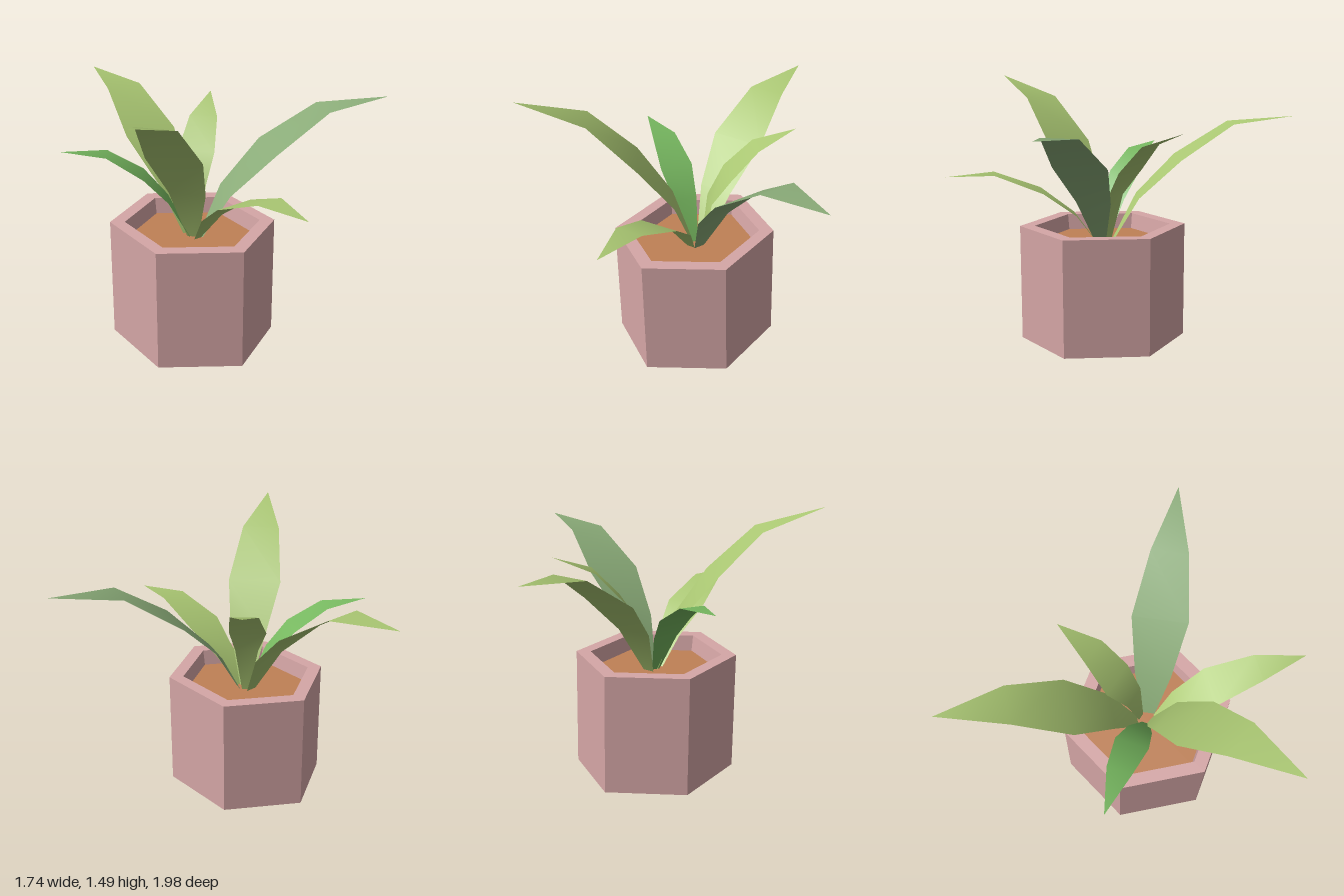
import * as THREE from 'three';

const mat = (name, color, extra = {}) => new THREE.MeshStandardMaterial({ name, color, ...extra });

// Six-sided turned shape with hard facets, corners pointing to front and back
function hexLathe(name, profile, material) {
  const pts = profile.map(([r, y]) => new THREE.Vector2(r, y));
  const geo = new THREE.LatheGeometry(pts, 6).toNonIndexed();
  geo.scale(0.919, 1, 1);
  geo.computeVertexNormals();
  const mesh = new THREE.Mesh(geo, material);
  mesh.name = name;
  mesh.position.set(-0.17, 0, 0.11);
  return mesh;
}

// Single-surface blade: stations are [x, y, z, width] along the midrib, then a pointed tip
function leaf(name, stations, tip, material) {
  const [bx, , bz] = stations[0];
  const side = new THREE.Vector3(-(tip[2] - bz), 0, tip[0] - bx).normalize();
  const pos = [], index = [];
  for (const [x, y, z, w] of stations) {
    for (const s of [-0.5, 0.5]) pos.push(x + side.x * w * s, y, z + side.z * w * s);
  }
  pos.push(...tip);
  const last = 2 * (stations.length - 1);
  for (let a = 0; a < last; a += 2) index.push(a, a + 1, a + 2, a + 1, a + 3, a + 2);
  index.push(last, last + 1, last + 2);
  const geo = new THREE.BufferGeometry();
  geo.setAttribute('position', new THREE.Float32BufferAttribute(pos, 3));
  geo.setIndex(index);
  geo.computeVertexNormals();
  const mesh = new THREE.Mesh(geo, material);
  mesh.name = name;
  return mesh;
}

export function createModel() {
  const group = new THREE.Group();
  group.name = 'pottedPlant';

  const pink = mat('potPink', 0xd5a6a6);
  const brown = mat('soilBrown', 0xbf8055);
  const double = { side: THREE.DoubleSide };
  const lime = mat('leafLime', 0xa9c672, double);
  const sage = mat('leafSage', 0x8aab78, double);
  const green = mat('leafGreen', 0x76b75f, double);

  // Pot with rim and hollow top, then the soil inside
  group.add(hexLathe('pot', [[0, 0], [0.475, 0], [0.475, 0.67], [0.39, 0.67], [0.375, 0.57]], pink));
  group.add(hexLathe('soil', [[0.376, 0.58], [0, 0.58]], brown));

  // Leaves fanning out from the middle
  group.add(
    leaf('backLeaf', [
      [-0.16, 0.57, 0.06, 0.06], [-0.16, 0.84, -0.09, 0.2],
      [-0.165, 1.06, -0.32, 0.31], [-0.16, 1.255, -0.62, 0.21],
    ], [-0.16, 1.29, -0.99], lime),
    leaf('backLeftLeaf', [
      [-0.14, 0.57, 0.08, 0.04], [-0.11, 0.85, 0.04, 0.13],
      [-0.045, 1.0, -0.04, 0.205], [0.072, 1.158, -0.14, 0.155],
    ], [0.23, 1.24, -0.3], lime),
    leaf('leftLeaf', [
      [-0.13, 0.57, 0.125, 0.06], [0.005, 0.83, 0.17, 0.2],
      [0.225, 1.06, 0.25, 0.31], [0.512, 1.258, 0.358, 0.205],
    ], [0.87, 1.29, 0.483], sage),
    leaf('frontLeaf', [
      [-0.165, 0.57, 0.145, 0.04], [-0.15, 0.74, 0.268, 0.14],
      [-0.142, 0.88, 0.457, 0.225], [-0.122, 0.983, 0.72, 0.155],
    ], [-0.1, 0.97, 0.99], lime),
    leaf('frontRightLeaf', [
      [-0.17, 0.57, 0.115, 0.06], [-0.252, 0.87, 0.185, 0.205],
      [-0.4, 1.12, 0.295, 0.305], [-0.596, 1.37, 0.455, 0.215],
    ], [-0.872, 1.485, 0.69], lime),
    leaf('backRightLeaf', [
      [-0.175, 0.57, 0.1, 0.04], [-0.278, 0.8, 0.04, 0.135],
      [-0.388, 0.943, -0.03, 0.187], [-0.55, 1.06, -0.13, 0.137],
    ], [-0.763, 1.08, -0.25], green),
  );
  return group;
}
